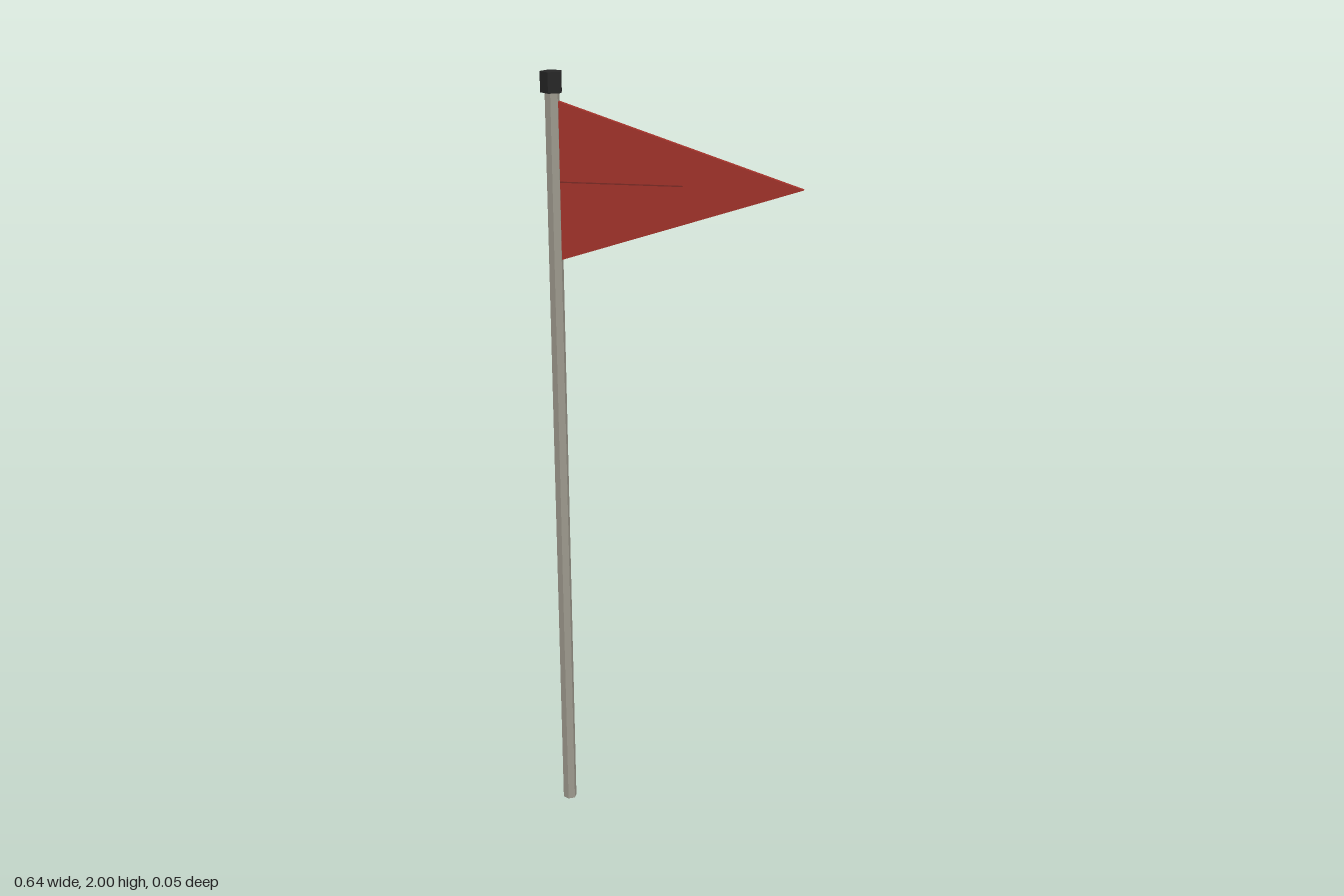
import * as THREE from 'three';

export function createModel() {
  const group = new THREE.Group();
  const poleX = -0.293, poleZ = -0.003;

  const add = (name, geometry, color, x, y, z) => {
    const mesh = new THREE.Mesh(geometry, new THREE.MeshStandardMaterial({ color, flatShading: true }));
    mesh.name = name;
    mesh.position.set(x, y, z);
    group.add(mesh);
    return mesh;
  };

  // Slim faceted pole
  add('pole', new THREE.CylinderGeometry(0.0185, 0.0185, 1.96, 6), 0x9c988c, poleX, 0.98, poleZ);

  // Five-sided cap on top, turned slightly
  const cap = add('poleCap', new THREE.CylinderGeometry(0.0285, 0.0285, 0.05, 5), 0x262626, poleX, 1.975, poleZ);
  cap.rotation.y = -0.1;

  // Triangular pennant
  const outline = new THREE.Shape([
    new THREE.Vector2(-0.285, 1.54),
    new THREE.Vector2(0.318, 1.736),
    new THREE.Vector2(-0.285, 1.932),
  ]);
  const pennant = new THREE.ExtrudeGeometry(outline, { depth: 0.015, bevelEnabled: false });
  add('pennant', pennant, 0xa0322a, 0, 0, -0.0115);

  // Thin batten along the middle of the pennant, just proud of both faces
  add('batten', new THREE.BoxGeometry(0.31, 0.003, 0.018), 0x7a2a24, -0.13, 1.736, -0.004);

  return group;
}
